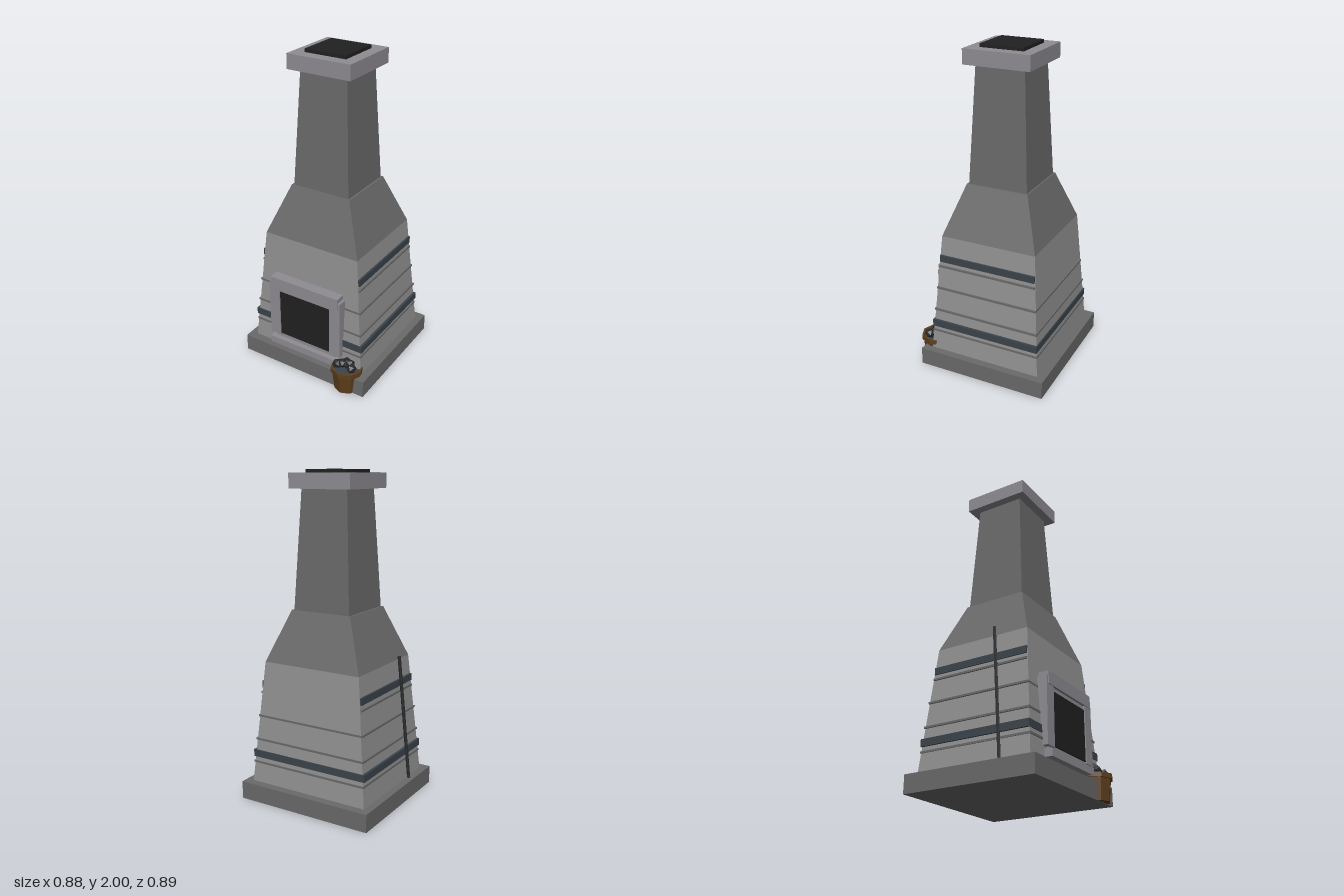
import * as THREE from 'three';

const CZ = -0.036; // depth centre of the masonry

const mat = (name, color, extra = {}) =>
  Object.assign(new THREE.MeshStandardMaterial({ color, ...extra }), { name });

// Box that tapers from a bottom half-size to a top half-size
function taper(y0, y1, bx, bz, tx, tz) {
  const g = new THREE.BoxGeometry(2, y1 - y0, 2);
  const p = g.attributes.position;
  for (let i = 0; i < p.count; i++) {
    const top = p.getY(i) > 0;
    p.setX(i, p.getX(i) * (top ? tx : bx));
    p.setZ(i, p.getZ(i) * (top ? tz : bz));
  }
  g.translate(0, (y0 + y1) / 2, CZ);
  g.computeVertexNormals();
  return g;
}

// Box from its minimum and maximum corners
function span(x0, x1, y0, y1, z0, z1) {
  const g = new THREE.BoxGeometry(x1 - x0, y1 - y0, z1 - z0);
  return g.translate((x0 + x1) / 2, (y0 + y1) / 2, (z0 + z1) / 2);
}

export function createModel() {
  const stone = mat('lightStone', 0x919191);
  const darkStone = mat('darkStone', 0x6a6a6b);
  const trim = mat('trimStone', 0x8f8d93);
  const steel = mat('steel', 0x3b444b);
  const black = mat('soot', 0x212121);
  const coal = mat('coal', 0x27292b);
  const iron = mat('iron', 0x2b2e31);
  const wood = mat('wood', 0x5e3f1d);
  for (const m of [coal, iron, wood]) m.flatShading = true;
  wood.side = THREE.DoubleSide;

  const root = new THREE.Group();
  root.name = 'furnace';
  const add = (name, geometry, material, parent = root) => {
    const mesh = new THREE.Mesh(geometry, material);
    mesh.name = name;
    parent.add(mesh);
    return mesh;
  };

  // Masonry stack
  add('base', taper(0, 0.11, 0.442, 0.414, 0.442, 0.414), darkStone);
  add('body', taper(0.11, 0.868, 0.395, 0.361, 0.325, 0.305), stone);
  add('hood', taper(0.868, 1.18, 0.325, 0.305, 0.202, 0.197), darkStone);
  add('chimney', taper(1.18, 1.89, 0.19, 0.188, 0.154, 0.152), darkStone);
  add('chimneyCap', taper(1.89, 1.98, 0.207, 0.207, 0.207, 0.207), trim);
  add('flueOpening', taper(1.98, 2, 0.135, 0.135, 0.135, 0.135), black);

  // Steel straps and thin mortar courses around the body: y0, y1, half x, half z
  for (const [y0, y1, hx, hz] of [[0.268, 0.312, 0.392, 0.353], [0.705, 0.748, 0.348, 0.312]])
    add('steelBand', taper(y0, y1, hx, hz, hx, hz), steel);
  for (const [y, hx, hz] of [[0.237, 0.388, 0.356], [0.382, 0.379, 0.345], [0.53, 0.366, 0.3315], [0.675, 0.352, 0.315]])
    add('thinCourse', taper(y - 0.006, y + 0.006, hx, hz, hx, hz), darkStone);

  // Fire door surround
  const door = new THREE.Group();
  door.name = 'fireDoor';
  root.add(door);
  add('backPanel', span(-0.22, 0.22, 0.18, 0.56, 0.28, 0.338), trim, door);
  add('fireOpening', span(-0.183, 0.183, 0.21, 0.52, 0.33, 0.344), black, door);
  for (const s of [-1, 1]) {
    const x = s * 0.2205;
    add('jamb', span(x - 0.0375, x + 0.0375, 0.2, 0.59, 0.29, 0.35), trim, door);
  }
  add('lintel', span(-0.243, 0.243, 0.545, 0.62, 0.29, 0.354), trim, door);
  add('sill', span(-0.246, 0.246, 0.138, 0.182, 0.29, 0.37), trim, door);

  // Coal bucket
  const bucket = new THREE.Group();
  bucket.name = 'coalBucket';
  bucket.position.set(0.306, 0, 0.34);
  root.add(bucket);
  const profile = [[0, 0.002], [0.079, 0.002], [0.093, 0.13], [0.103, 0.13], [0.103, 0.158], [0.088, 0.158], [0.086, 0.14]]
    .map(([x, y]) => new THREE.Vector2(x, y));
  add('bucketShell', new THREE.LatheGeometry(profile, 8), wood, bucket);
  add('bucketLining', new THREE.CylinderGeometry(0.088, 0.088, 0.006, 8).translate(0, 0.144, 0), steel, bucket);
  const lumps = [[-0.052, 0.172, 0.03, 0.031], [0, 0.178, 0.0, 0.036], [0.048, 0.174, 0.028, 0.031], [-0.02, 0.182, 0.02, 0.03], [0.025, 0.181, 0.005, 0.032]];
  lumps.forEach(([x, y, z, r], i) => {
    const lump = add('coalLump', new THREE.IcosahedronGeometry(r, 0), coal, bucket);
    lump.position.set(x, y, z);
    lump.rotation.set(i * 0.7, i * 1.3, i * 0.4);
  });

  // Poker leaning on the model's right side
  const foot = new THREE.Vector3(-0.413, 0.004, 0.155);
  const tip = new THREE.Vector3(-0.362, 0.903, 0.075);
  const dir = tip.clone().sub(foot);
  const poker = add('poker', new THREE.CylinderGeometry(0.01, 0.01, dir.length(), 6), iron);
  poker.position.copy(foot).add(tip).multiplyScalar(0.5);
  poker.quaternion.setFromUnitVectors(new THREE.Vector3(0, 1, 0), dir.normalize());

  return root;
}
